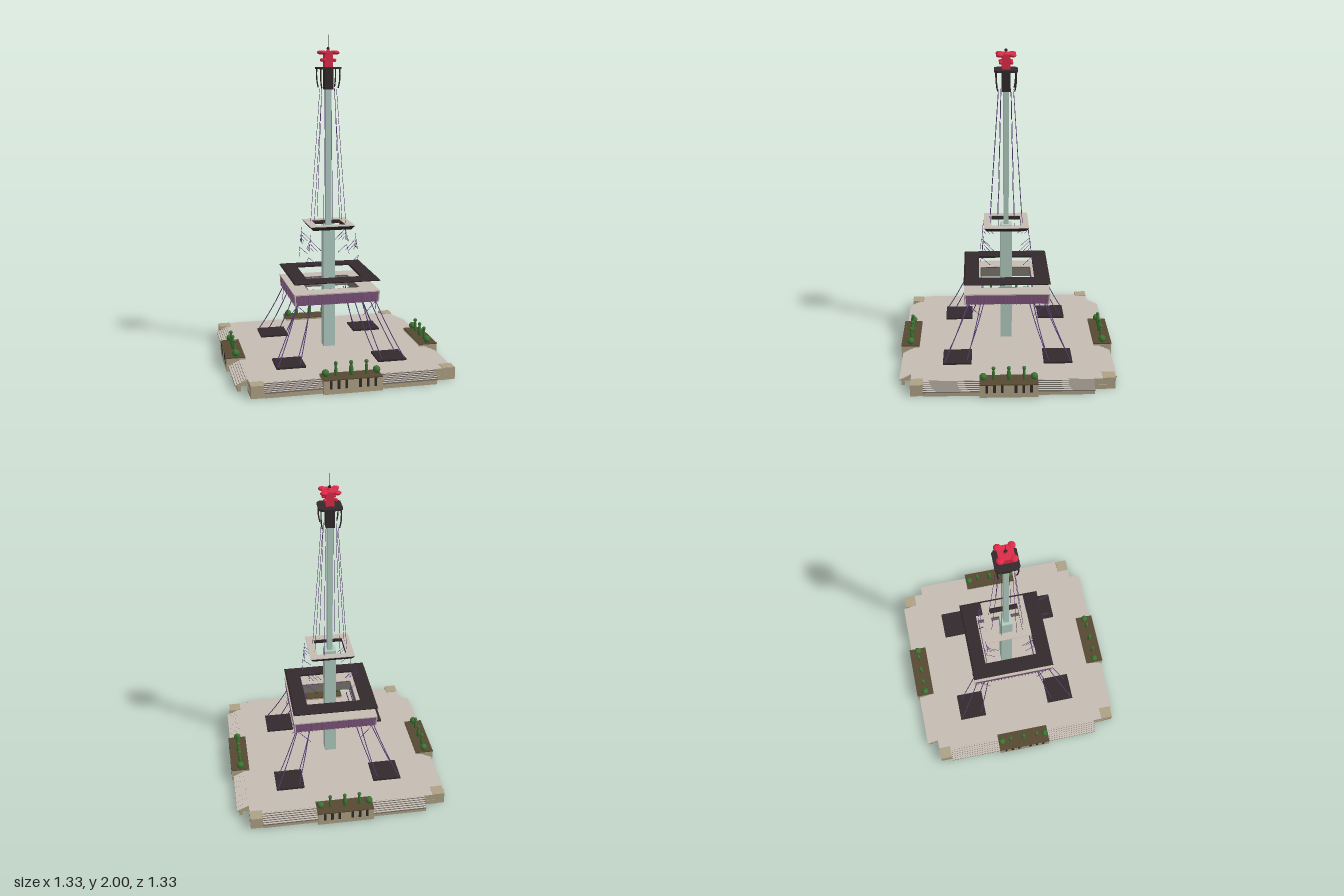
import * as THREE from 'three';

const M = {};
for (const [name, hex] of Object.entries({
  stone: 0xc5bcb2, riser: 0x78726b, sand: 0xaea285, soil: 0x574932, dark: 0x32292b,
  purple: 0x80567f, iron: 0x5a3c78, glass: 0xb0cbc0, red: 0xdc2b48, green: 0x3d7533,
})) {
  M[name] = new THREE.MeshStandardMaterial({ color: hex });
  M[name].name = name;
}
// face materials of the steps and of the floor
const STEP = [M.sand, M.sand, M.stone, M.riser, M.riser, M.riser];
const FLOOR = [M.sand, M.sand, M.stone, M.stone, M.sand, M.sand];

const add = (parent, name, geometry, material, x = 0, y = 0, z = 0) => {
  const m = new THREE.Mesh(geometry, material);
  m.name = name;
  m.position.set(x, y, z);
  parent.add(m);
  return m;
};

// box given by its limits
const block = (parent, name, mat, x0, x1, y0, y1, z0, z1) =>
  add(parent, name, new THREE.BoxGeometry(x1 - x0, y1 - y0, z1 - z0), mat,
    (x0 + x1) / 2, (y0 + y1) / 2, (z0 + z1) / 2);

// square turned shape; the profile is [half width, y]
const squareTurn = (profile) => {
  const pts = profile.map(([r, y]) => new THREE.Vector2(r * Math.SQRT2, y));
  const g = new THREE.LatheGeometry(pts, 4).rotateY(Math.PI / 4).toNonIndexed();
  g.computeVertexNormals();
  return g;
};

// thin round rod between two points, bowed by an optional middle point
const rod = (parent, name, mat, a, b, r, mid) => {
  const A = new THREE.Vector3(...a), B = new THREE.Vector3(...b);
  const curve = mid ? new THREE.QuadraticBezierCurve3(A, new THREE.Vector3(...mid), B)
    : new THREE.LineCurve3(A, B);
  return add(parent, name, new THREE.TubeGeometry(curve, mid ? 8 : 1, r, 16), mat);
};

// four copies of a part, one for each side
const fourSides = (parent, name, build) => {
  for (let i = 0; i < 4; i++) {
    const g = new THREE.Group();
    g.name = name;
    g.rotation.y = i * Math.PI / 2;
    build(g);
    parent.add(g);
  }
};

function planter(g) {
  // hollow trough, open below
  block(g, 'planterFront', M.sand, -0.172, 0.172, 0, 0.08, 0.657, 0.663);
  block(g, 'planterBack', M.sand, -0.172, 0.172, 0, 0.08, 0.55, 0.556);
  for (const s of [-1, 1])
    block(g, 'planterEnd', M.sand, s * 0.169 - 0.003, s * 0.169 + 0.003, 0, 0.08, 0.556, 0.657);
  block(g, 'planterSoil', M.soil, -0.172, 0.172, 0.08, 0.086, 0.55, 0.6645);
  for (const x of [-0.13, -0.085, -0.04, 0.04, 0.085, 0.13])
    block(g, 'planterSlot', M.dark, x - 0.008, x + 0.008, 0.03, 0.08, 0.66, 0.664);
  for (const s of [-1, 1]) {
    add(g, 'roundBush', new THREE.SphereGeometry(0.022, 14, 10), M.green, s * 0.15, 0.107, 0.605);
    topiary(g, s * 0.09, 0.009);
  }
  topiary(g, 0, 0.013);
}

function topiary(g, x, r) {
  const profile = [[0.001, 0.086], [r * 0.7, 0.087], [r, 0.11], [r * 0.95, 0.13], [0.006, 0.152]]
    .map(([a, b]) => new THREE.Vector2(a, b));
  add(g, 'topiaryStem', new THREE.LatheGeometry(profile, 14), M.green, x, 0, 0.605);
  add(g, 'topiaryBall', new THREE.SphereGeometry(0.0115, 14, 10), M.green, x, 0.161, 0.605);
}

function plaza(root) {
  block(root, 'plazaFloor', FLOOR, -0.58, 0.58, 0.025, 0.07, -0.58, 0.58);
  fourSides(root, 'plazaSide', (g) => {
    // steps falling away from the floor, over a sand kerb
    for (let i = 0; i < 6; i++)
      block(g, 'step', STEP, -0.505, 0.505, 0.03, 0.069 - i * 0.006, 0.58, 0.59 + i * 0.0126);
    block(g, 'kerb', M.sand, -0.505, 0.505, 0, 0.03, 0.62, 0.64);
    block(g, 'cornerBlock', M.sand, -0.58, -0.505, 0, 0.073, 0.56, 0.635);
    block(g, 'cornerKerb', M.sand, 0.505, 0.582, 0, 0.03, 0.565, 0.582);
    planter(g);
  });
}

function legs(root) {
  fourSides(root, 'leg', (g) => {
    block(g, 'footPad', M.dark, 0.22, 0.395, 0.07, 0.081, 0.22, 0.395);
    // foot x, foot z, top x, top z of each edge
    for (const [x, z, tx, tz] of [[0.385, 0.385, 0.24, 0.24], [0.25, 0.365, 0.16, 0.22],
      [0.365, 0.25, 0.22, 0.16], [0.235, 0.235, 0.13, 0.13]])
      rod(g, 'legEdge', M.iron, [x, 0.08, z], [tx, 0.41, tz], 0.0027,
        [(x + tx) / 2 - 0.012, 0.245, (z + tz) / 2 - 0.012]);
    // braces under the gallery
    rod(g, 'legBrace', M.iron, [0.16, 0.33, 0.265], [0.24, 0.4, 0.24], 0.0017);
    rod(g, 'legBrace', M.iron, [0.265, 0.33, 0.16], [0.24, 0.4, 0.24], 0.0017);
  });
}

function galleries(root) {
  // lower gallery: ribbed purple apron around a core, under a stone walkway
  add(root, 'lowerCore', squareTurn([[0.162, 0.406], [0.253, 0.406], [0.253, 0.468], [0.162, 0.468], [0.162, 0.406]]), M.riser);
  add(root, 'lowerApron', squareTurn([[0.25, 0.405], [0.254, 0.405], [0.26, 0.468]]), M.purple);
  add(root, 'lowerWalkway', squareTurn([[0.162, 0.468], [0.263, 0.468], [0.263, 0.475], [0.162, 0.475], [0.162, 0.468]]), M.stone);
  fourSides(root, 'lowerGallerySide', (g) => {
    for (let i = 0; i < 22; i++) {
      const x = -0.242 + i * 0.484 / 21;
      block(g, 'rib', M.purple, x - 0.003, x + 0.003, 0.406, 0.468, 0.252, 0.261);
    }
    rod(g, 'cornerPost', M.stone, [0.255, 0.406, 0.255], [0.259, 0.468, 0.259], 0.005);
    rod(g, 'innerRail', M.iron, [-0.157, 0.472, 0.157], [0.157, 0.472, 0.157], 0.002);
  });
  // floating roof above the walkway
  add(root, 'lowerRoof', squareTurn([[0.17, 0.535], [0.262, 0.535], [0.265, 0.54], [0.255, 0.547], [0.17, 0.547], [0.17, 0.535]]), M.dark);
  // upper gallery
  add(root, 'upperGallery', squareTurn([[0.09, 0.83], [0.12, 0.83], [0.137, 0.853], [0.09, 0.853], [0.09, 0.83]]), M.dark);
  add(root, 'upperWalkway', squareTurn([[0.09, 0.853], [0.137, 0.853], [0.137, 0.857], [0.09, 0.857], [0.09, 0.853]]), M.stone);
  // broken lattice at the corners between the galleries
  fourSides(root, 'cornerLattice', (g) => {
    for (const flip of [false, true]) {
      const p = (x, y, z) => (flip ? [z, y, x] : [x, y, z]);
      for (let i = 0; i < 3; i++)
        rod(g, 'latticeBar', M.iron, p(0.075 + i * 0.025, 0.71, 0.15), p(0.14, 0.775 - i * 0.022, 0.145), 0.0013);
      rod(g, 'latticeBar', M.iron, p(0.1, 0.625, 0.16), p(0.155, 0.675, 0.155), 0.0013);
      rod(g, 'latticeEdge', M.iron, p(0.15, 0.71, 0.15), p(0.138, 0.81, 0.138), 0.0013);
    }
  });
}

function shaft(root) {
  block(root, 'lowerShaft', M.glass, -0.036, 0.036, 0.07, 0.84, -0.036, 0.036);
  block(root, 'upperShaft', M.glass, -0.0165, 0.0165, 0.84, 1.68, -0.0165, 0.0165);
  fourSides(root, 'upperLegs', (g) => {
    for (const s of [-1, 1])
      rod(g, 'upperLeg', M.iron, [s * 0.05, 0.857, 0.1], [s * 0.03, 1.68, 0.045], 0.0013);
  });
}

function summit(root) {
  block(root, 'cabin', M.dark, -0.026, 0.026, 1.675, 1.8, -0.026, 0.026);
  // chamfered deck
  const c = 0.052, h = 0.07;
  const s = new THREE.Shape([[c, -h], [h, -c], [h, c], [c, h], [-c, h], [-h, c], [-h, -c], [-c, -h]]
    .map((p) => new THREE.Vector2(...p)));
  add(root, 'deck', new THREE.ExtrudeGeometry(s, { depth: 0.011, bevelEnabled: false }).rotateX(-Math.PI / 2), M.dark, 0, 1.797, 0);
  fourSides(root, 'summitCorner', (g) => {
    rod(g, 'bracket', M.dark, [0.058, 1.8, 0.058], [0.05, 1.685, 0.05], 0.004, [0.062, 1.73, 0.062]);
    add(g, 'petal', new THREE.SphereGeometry(0.022, 14, 10), M.red, 0.039, 1.895, 0.039).scale.y = 0.55;
    add(g, 'bud', new THREE.SphereGeometry(0.011, 14, 10), M.red, 0.032, 1.85, 0.032);
  });
  block(root, 'beaconBody', M.red, -0.025, 0.025, 1.808, 1.888, -0.025, 0.025);
  block(root, 'beaconPlate', M.red, -0.045, 0.045, 1.888, 1.902, -0.045, 0.045);
  add(root, 'beaconCap', new THREE.ConeGeometry(0.016, 0.02, 16), M.red, 0, 1.911, 0);
  add(root, 'beaconTip', new THREE.SphereGeometry(0.009, 14, 10), M.dark, 0, 1.919, 0);
  rod(root, 'lightningRod', M.dark, [0, 1.92, 0], [0, 2, 0], 0.0006);
}

export function createModel() {
  const root = new THREE.Group();
  root.name = 'tower';
  plaza(root);
  legs(root);
  galleries(root);
  shaft(root);
  summit(root);
  return root;
}
